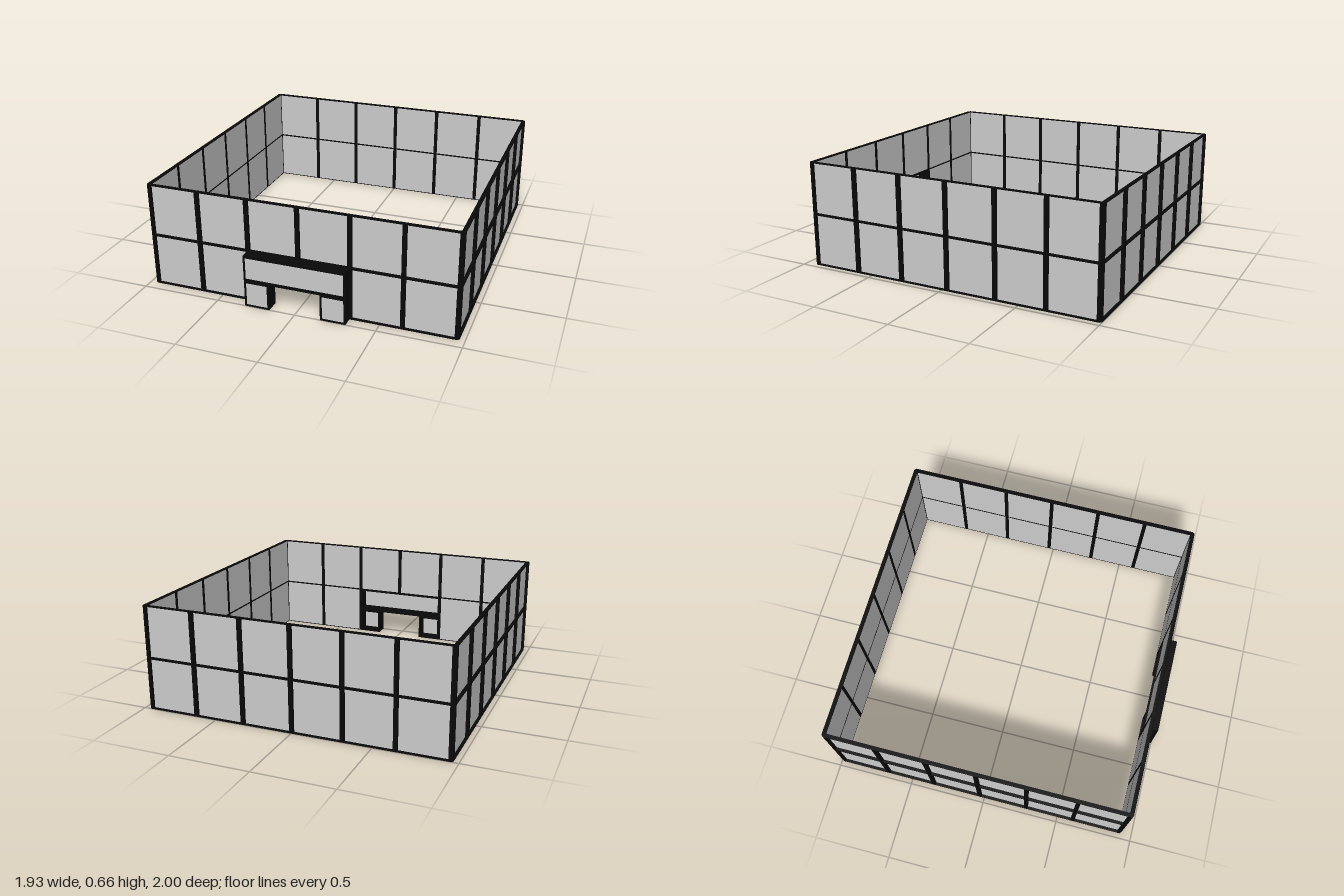
import * as THREE from 'three';

const PITCH = 0.3175;        // width of one panel bay
const ROW = 0.332;           // height of one panel row
const OUT = 0.9675, IN = 0.9425; // outer and inner faces of the walls
const MID = (OUT + IN) / 2, DEPTH = OUT - IN;

const grey = new THREE.MeshStandardMaterial({ color: 0xcccccc });
const black = new THREE.MeshStandardMaterial({ color: 0x080808 });

// Box given by its min and max on each axis
function box(parent, name, material, [x0, x1], [y0, y1], [z0, z1]) {
  const mesh = new THREE.Mesh(new THREE.BoxGeometry(x1 - x0, y1 - y0, z1 - z0), material);
  mesh.position.set((x0 + x1) / 2, (y0 + y1) / 2, (z0 + z1) / 2);
  mesh.name = name;
  parent.add(mesh);
}

// One wall facing +z: thin panels near the inner face, held by posts and rails
function createWall(name, hasDoor) {
  const wall = new THREE.Group();
  wall.name = name;
  const end = 3 * PITCH;
  const z = [IN, OUT];
  for (let row = 0; row < 2; row++) {
    const y0 = row * ROW, y1 = y0 + ROW;
    for (let i = 0; i < 6; i++) {
      if (hasDoor && row === 0 && (i === 2 || i === 3)) continue;
      const x0 = (i - 3) * PITCH;
      box(wall, 'wallPanel', grey, [x0 + 0.012, x0 + PITCH - 0.012], [y0 + 0.004, y1 - 0.004], [IN + 0.001, IN + 0.006]);
      if (row === 0) box(wall, 'bottomRail', black, [x0, x0 + PITCH], [0, 0.005], z);
    }
    for (let i = 1; i < 6; i++) {
      if (hasDoor && row === 0 && i === 3) continue;
      const x = (i - 3) * PITCH;
      box(wall, 'post', black, [x - 0.0125, x + 0.0125], [y0, y1], z);
    }
  }
  box(wall, 'middleRail', black, [-end, end], [ROW - 0.005, ROW + 0.005], z);
  box(wall, 'topRail', black, [-end, end], [2 * ROW - 0.005, 2 * ROW], z);

  // Corner post with its outer edge cut off
  const s = new THREE.Shape([
    [0.94, -0.94], [OUT, -0.94], [OUT, -0.955], [0.955, -OUT], [0.94, -OUT],
  ].map(([x, y]) => new THREE.Vector2(x, y)));
  const geo = new THREE.ExtrudeGeometry(s, { depth: 2 * ROW, bevelEnabled: false });
  geo.rotateX(-Math.PI / 2);
  const corner = new THREE.Mesh(geo, black);
  corner.name = 'cornerPost';
  wall.add(corner);
  return wall;
}

// Doorway that stands out from the front wall
function createDoorway() {
  const door = new THREE.Group();
  door.name = 'doorway';
  const z = [0.91, 1], pane = [0.99, 0.998];
  const w = PITCH, gap = 0.16;
  box(door, 'doorTop', black, [-w, w], [0.32, ROW + 0.003], z);
  box(door, 'lintelShelf', black, [-w, w], [0.165, 0.185], z);
  box(door, 'lintelPanel', grey, [-w + 0.01, w - 0.01], [0.183, 0.322], pane);
  for (const side of [-1, 1]) {
    const span = (a, b) => (side > 0 ? [a, b] : [-b, -a]);
    box(door, 'outerJamb', black, span(w - 0.0125, w), [0, ROW], z);
    box(door, 'innerJamb', black, span(gap, gap + 0.0125), [0, 0.17], z);
    box(door, 'legFoot', black, span(gap, w), [0, 0.012], z);
    box(door, 'legHead', black, span(gap, w), [0.155, 0.168], z);
    box(door, 'legPanel', grey, span(gap + 0.01, w - 0.01), [0.01, 0.157], pane);
  }
  return door;
}

export function createModel() {
  const model = new THREE.Group();
  model.name = 'panelEnclosure';

  // Four equal walls around a square, set back to leave room for the doorway
  const walls = new THREE.Group();
  walls.name = 'walls';
  walls.position.z = OUT - 1;
  ['frontWall', 'leftWall', 'backWall', 'rightWall'].forEach((name, i) => {
    const wall = createWall(name, i === 0);
    wall.rotation.y = i * Math.PI / 2;
    walls.add(wall);
  });
  model.add(walls, createDoorway());
  return model;
}
